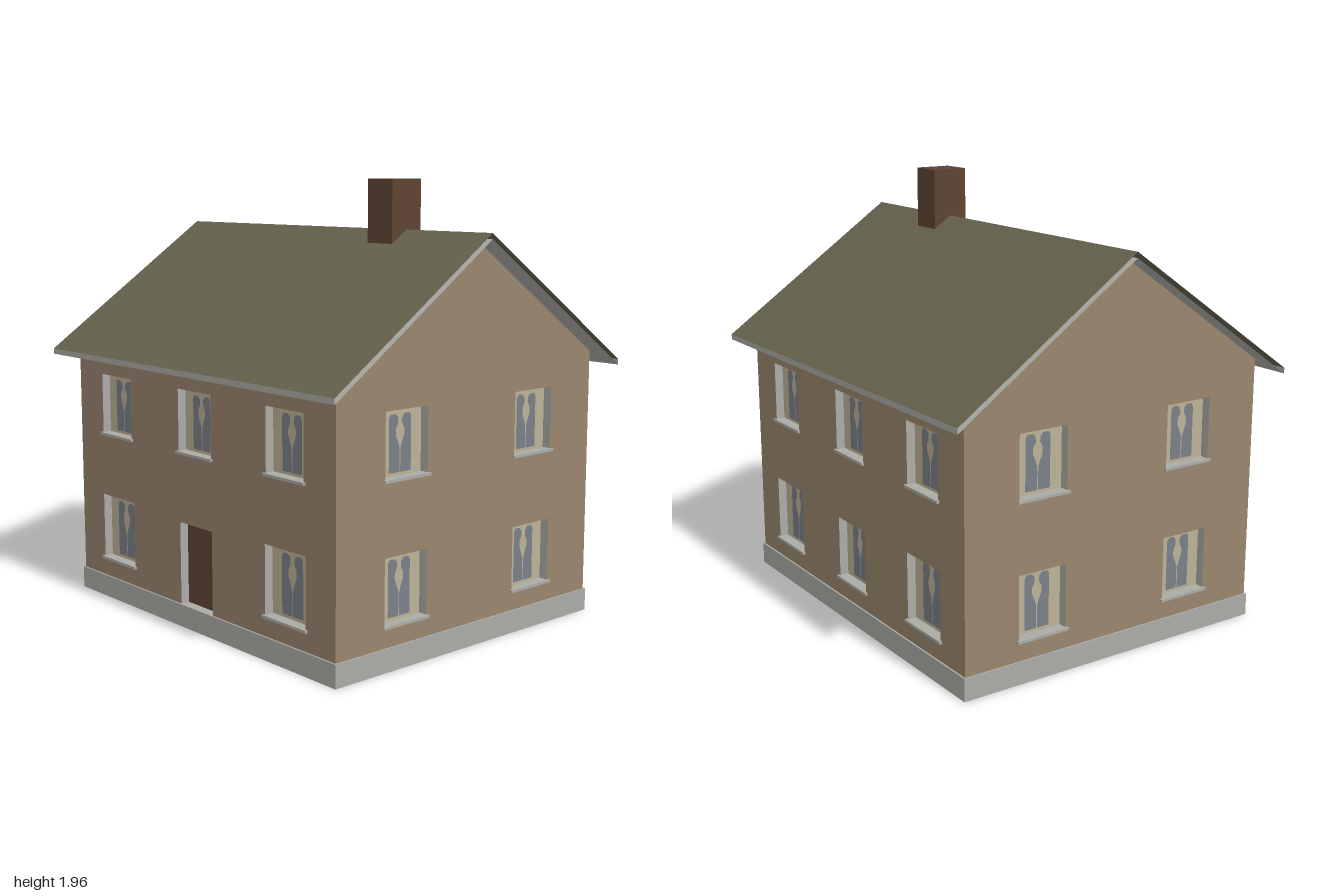
import * as THREE from 'three';

const mat = (name, color, side = THREE.DoubleSide) =>
  Object.assign(new THREE.MeshStandardMaterial({ color, side }), { name });

const HX = 0.908, HZ = 0.757;          // wall half extents
const RIDGE = 1.74, EAVE = 1.16, ROOF_Z = 0.845;
const SLOPE = (RIDGE - EAVE) / ROOF_Z;
const RECESS = 0.04;

export function createModel() {
  const house = new THREE.Group();
  house.name = 'house';
  const M = {
    wall: mat('wall render', 0x98856e),
    stone: mat('pale stone', 0xababa6),
    roof: mat('roof olive', 0x66634e),
    wood: mat('brown', 0x5e4433),
    curtain: mat('curtain cream', 0xbdb297),
    glass: mat('glass grey', 0x7b8189),
  };

  const add = (parent, name, geo, material, x = 0, y = 0, z = 0) => {
    const mesh = new THREE.Mesh(geo, material);
    mesh.name = name;
    mesh.position.set(x, y, z);
    parent.add(mesh);
    return mesh;
  };
  const poly = (pts) => pts.map(([x, y]) => new THREE.Vector2(x, y));
  const rect = (x0, y0, x1, y1) => poly([[x0, y0], [x1, y0], [x1, y1], [x0, y1]]);
  // Four sides of a box, open at both z ends
  const sleeve = (w, h, d) => {
    const g = new THREE.BoxGeometry(w, h, d);
    g.setIndex(Array.from(g.index.array).slice(0, 24));
    g.clearGroups();
    return g;
  };

  // Half of the gap between the curtains: u of half width, v of height
  const gap = [[0.02, 0.05], [0.52, 0.05], [0.52, 0.86], [0.44, 0.91], [0.22, 0.91], [0.1, 0.86],
    [0.09, 0.78], [0.2, 0.69], [0.2, 0.6], [0.08, 0.48], [0.02, 0.4]];

  function addWindow(parent, { x, y, w, h }) {
    const win = new THREE.Group();
    win.name = 'window';
    win.position.set(x, y, 0);
    parent.add(win);
    add(win, 'windowReveal', sleeve(w, h, RECESS), M.stone, 0, h / 2, -RECESS / 2);
    const curtain = new THREE.Shape(rect(-w / 2, 0, w / 2, h));
    for (const s of [-1, 1]) {
      const pts = poly(gap.map(([u, v]) => [s * u * w / 2, v * h]));
      curtain.holes.push(new THREE.Path(pts));
      add(win, 'windowGlass', new THREE.ShapeGeometry(new THREE.Shape(pts)), M.glass, 0, 0, -RECESS);
    }
    add(win, 'curtains', new THREE.ShapeGeometry(curtain), M.curtain, 0, 0, -RECESS);
    add(win, 'windowSill', new THREE.BoxGeometry(w + 0.02, 0.012, RECESS + 0.012), M.stone,
      0, -0.004, 0.006 - RECESS / 2);
  }

  function addDoor(parent, { x, y, w, h }) {
    add(parent, 'doorReveal', sleeve(w, h, RECESS), M.stone, x, y + h / 2, -RECESS / 2);
    add(parent, 'door', new THREE.PlaneGeometry(w, h), M.wood, x, y + h / 2, -RECESS);
  }

  // One wall with its openings, facing +z before it is turned
  function addWall(name, half, dist, turn, gable, windows, door) {
    const side = new THREE.Group();
    side.name = name;
    side.rotation.y = turn;
    side.position.set(Math.sin(turn) * dist, 0, Math.cos(turn) * dist);
    house.add(side);
    const top = RIDGE - SLOPE * HZ - 0.002;
    const outline = [[-half, 0], [half, 0], [half, top]];
    if (gable) outline.push([0, RIDGE - 0.002]);
    outline.push([-half, top]);
    const shape = new THREE.Shape(poly(outline));
    for (const o of door ? [...windows, door] : windows) {
      shape.holes.push(new THREE.Path(rect(o.x - o.w / 2, o.y, o.x + o.w / 2, o.y + o.h)));
    }
    add(side, name + 'Surface', new THREE.ShapeGeometry(shape), M.wall);
    windows.forEach((o) => addWindow(side, o));
    if (door) addDoor(side, door);
  }

  const upper = (x) => ({ x, y: 0.785, w: 0.235, h: 0.275 });
  const lower = (x) => ({ x, y: 0.19, w: 0.255, h: 0.3 });
  const gableLow = (x) => ({ x, y: 0.19, w: 0.235, h: 0.28 });
  const upperRow = [-0.602, 0, 0.602].map(upper);
  const gableWindows = [-0.38, 0.38].flatMap((x) => [upper(x), gableLow(x)]);

  addWall('frontWall', HX, HZ, 0, false, [...upperRow, lower(-0.602), lower(0.602)],
    { x: 0, y: 0.1, w: 0.23, h: 0.37 });
  addWall('backWall', HX, HZ, Math.PI, false,
    [...upperRow, lower(-0.602), gableLow(0), lower(0.602)]);
  addWall('leftGable', HZ, HX, Math.PI / 2, true, gableWindows);
  addWall('rightGable', HZ, HX, -Math.PI / 2, true, gableWindows);

  // Plinth: outer band and a narrow ledge on top
  const px = HX + 0.008, pz = HZ + 0.008;
  add(house, 'plinthBand', sleeve(px * 2, pz * 2, 0.1).rotateX(-Math.PI / 2), M.stone, 0, 0.05, 0);
  const ledge = new THREE.Shape(rect(-px, -pz, px, pz));
  ledge.holes.push(new THREE.Path(rect(-HX, -HZ, HX, HZ)));
  add(house, 'plinthLedge', new THREE.ShapeGeometry(ledge).rotateX(-Math.PI / 2), M.stone, 0, 0.1, 0);

  // Roof: two folded sheets, open at the gable ends
  const sheet = () => {
    const g = new THREE.PlaneGeometry(2, ROOF_Z * 2, 1, 2).rotateX(-Math.PI / 2).toNonIndexed();
    const p = g.attributes.position;
    for (let i = 0; i < p.count; i++) p.setY(i, RIDGE - SLOPE * Math.abs(p.getZ(i)));
    g.computeVertexNormals();
    return g;
  };
  add(house, 'roofTop', sheet(), M.roof);
  add(house, 'roofUnderside', sheet(), M.stone, 0, -0.025, 0);
  for (const s of [-1, 1]) {
    const fascia = add(house, 'eavesFascia', new THREE.PlaneGeometry(2, 0.025), M.stone,
      0, EAVE - 0.0125, s * ROOF_Z);
    if (s < 0) fascia.rotation.y = Math.PI;
  }

  // Chimney astride the ridge
  add(house, 'chimney', new THREE.BoxGeometry(0.15, 0.275, 0.17), M.wood, 0.433, 1.8175, 0);

  return house;
}
